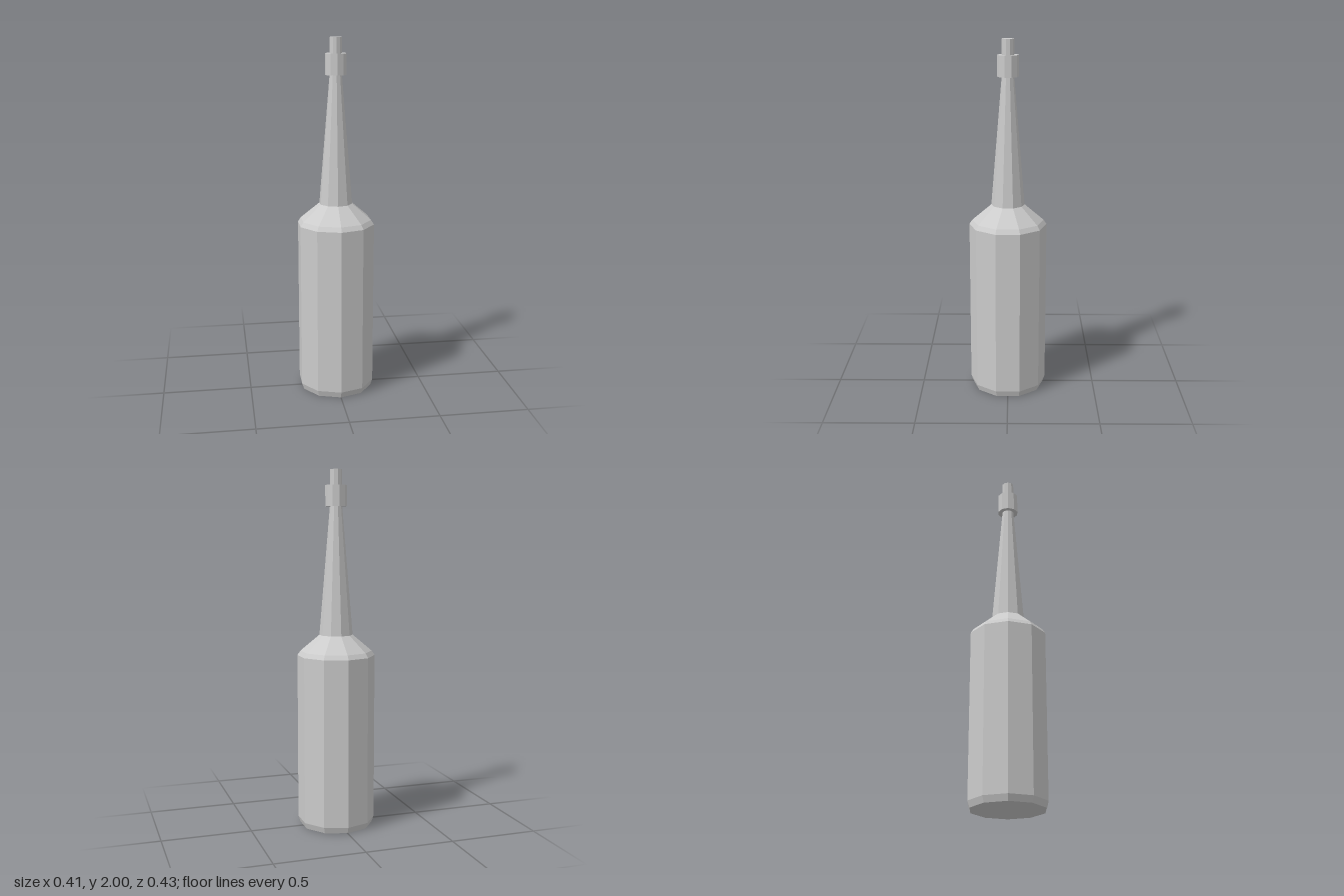
import * as THREE from 'three';

const SIDES = 10;

export function createModel() {
  const group = new THREE.Group();
  group.name = 'bottle';
  const material = new THREE.MeshStandardMaterial({ color: 0xcccccc, flatShading: true });

  // Ten-sided turned part from a [radius, height] profile, listed bottom to top
  const turned = (name, profile) => {
    const points = profile.map(([r, y]) => new THREE.Vector2(r, y));
    const mesh = new THREE.Mesh(new THREE.LatheGeometry(points, SIDES), material);
    mesh.name = name;
    group.add(mesh);
  };

  // Body with bevelled base and a sloping shoulder
  turned('body', [[0, 0], [0.205, 0], [0.217, 0.035], [0.217, 0.975], [0.2, 1.0], [0.093, 1.09]]);

  // Long tapered neck
  turned('neck', [[0.093, 1.09], [0.034, 1.8]]);

  // Collar around the top of the neck
  turned('collar', [[0.034, 1.8], [0.059, 1.8], [0.059, 1.915], [0.034, 1.915]]);

  // Mouth tip above the collar
  turned('mouth', [[0.034, 1.915], [0.034, 2], [0, 2]]);

  return group;
}
